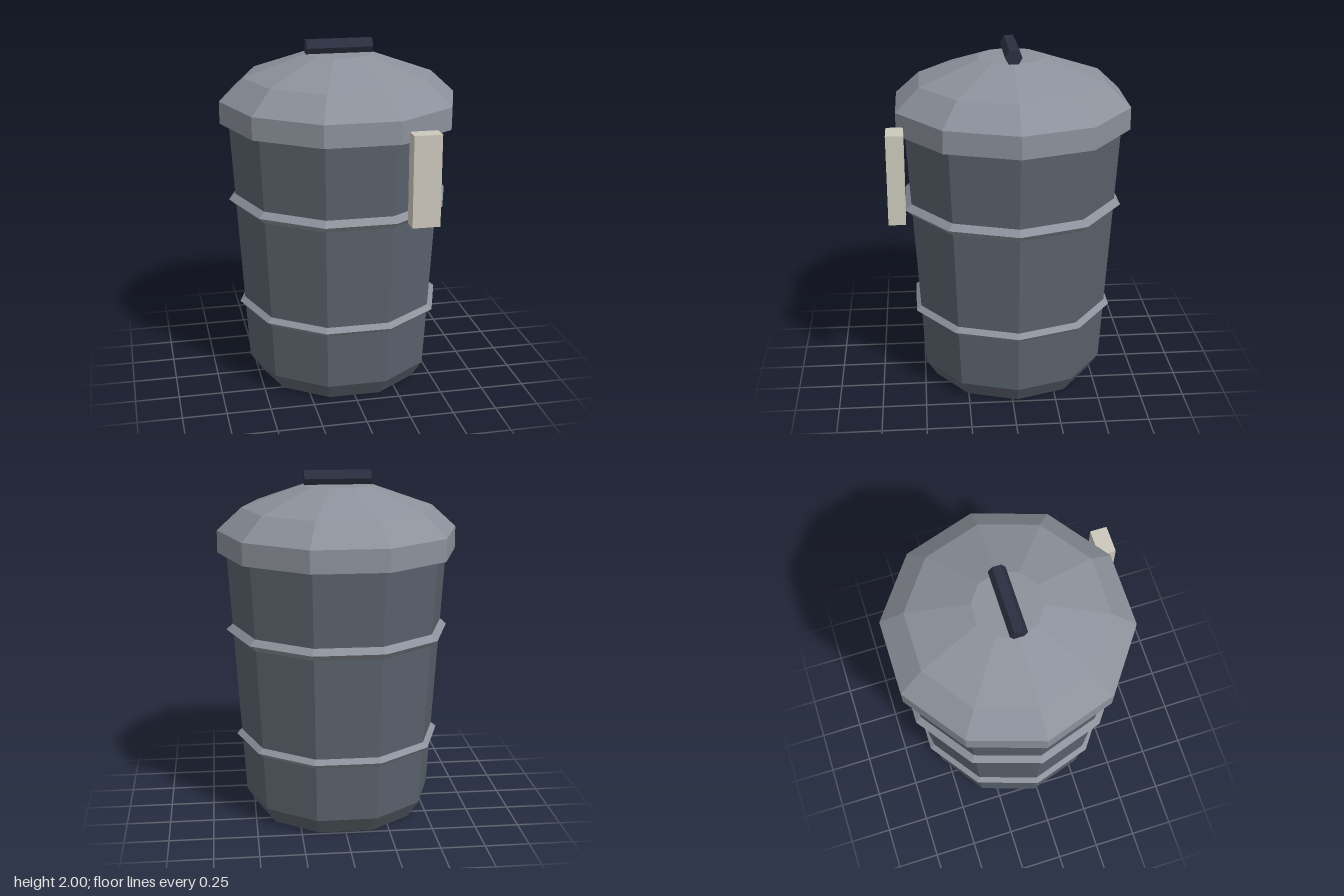
import * as THREE from 'three';

const SIDES = 10;
const AXIS_Z = -0.027;

const paint = (color) => new THREE.MeshStandardMaterial({ color, flatShading: true });

function addMesh(parent, name, geometry, material, x = 0, y = 0, z = 0) {
  const mesh = new THREE.Mesh(geometry, material);
  mesh.name = name;
  mesh.position.set(x, y, z);
  parent.add(mesh);
  return mesh;
}

// Ten-sided turned shape with a corner on the x axis; profile is [radius, height] from bottom to top
function turned(profile) {
  const points = profile.map(([r, y]) => new THREE.Vector2(r, y));
  return new THREE.LatheGeometry(points, SIDES, Math.PI / 2);
}

export function createModel() {
  const bin = new THREE.Group();
  bin.name = 'bin';

  const bodyPaint = paint(0x5a626c);
  const lidPaint = paint(0x8c919b);
  const handlePaint = paint(0x2c2f40);
  const tagPaint = paint(0xccc8bc);

  // Tapered body with a chamfered foot
  const body = turned([[0, 0], [0.48, 0], [0.545, 0.1], [0.635, 1.56], [0, 1.56]]);
  addMesh(bin, 'body', body, bodyPaint, 0, 0, AXIS_Z);

  // Ridged bands around the body
  const bands = [
    { name: 'lowerBand', y: 0.453, inner: 0.565, outer: 0.598, half: 0.029 },
    { name: 'upperBand', y: 1.093, inner: 0.604, outer: 0.645, half: 0.037 },
  ];
  for (const { name, y, inner, outer, half } of bands) {
    const ridge = turned([[inner, -half], [outer, 0], [inner, half]]);
    addMesh(bin, name, ridge, lidPaint, 0, y, AXIS_Z);
  }

  // Lid with a straight rim, two sloped tiers and a flat top
  const lid = turned([[0.6, 1.545], [0.685, 1.545], [0.685, 1.672], [0.545, 1.8], [0.19, 1.925], [0, 1.925]]);
  addMesh(bin, 'lid', lid, lidPaint, 0, 0, AXIS_Z);

  // Six-sided handle bar lying across the lid, corners pointing front and back
  const bar = new THREE.CylinderGeometry(0.048, 0.048, 0.38, 6);
  addMesh(bin, 'handle', bar, handlePaint, 0, 1.959, AXIS_Z).rotation.z = Math.PI / 2;

  // Upright tag at the front left
  addMesh(bin, 'tag', new THREE.BoxGeometry(0.155, 0.51, 0.096), tagPaint, 0.335, 1.348, 0.63);

  return bin;
}
